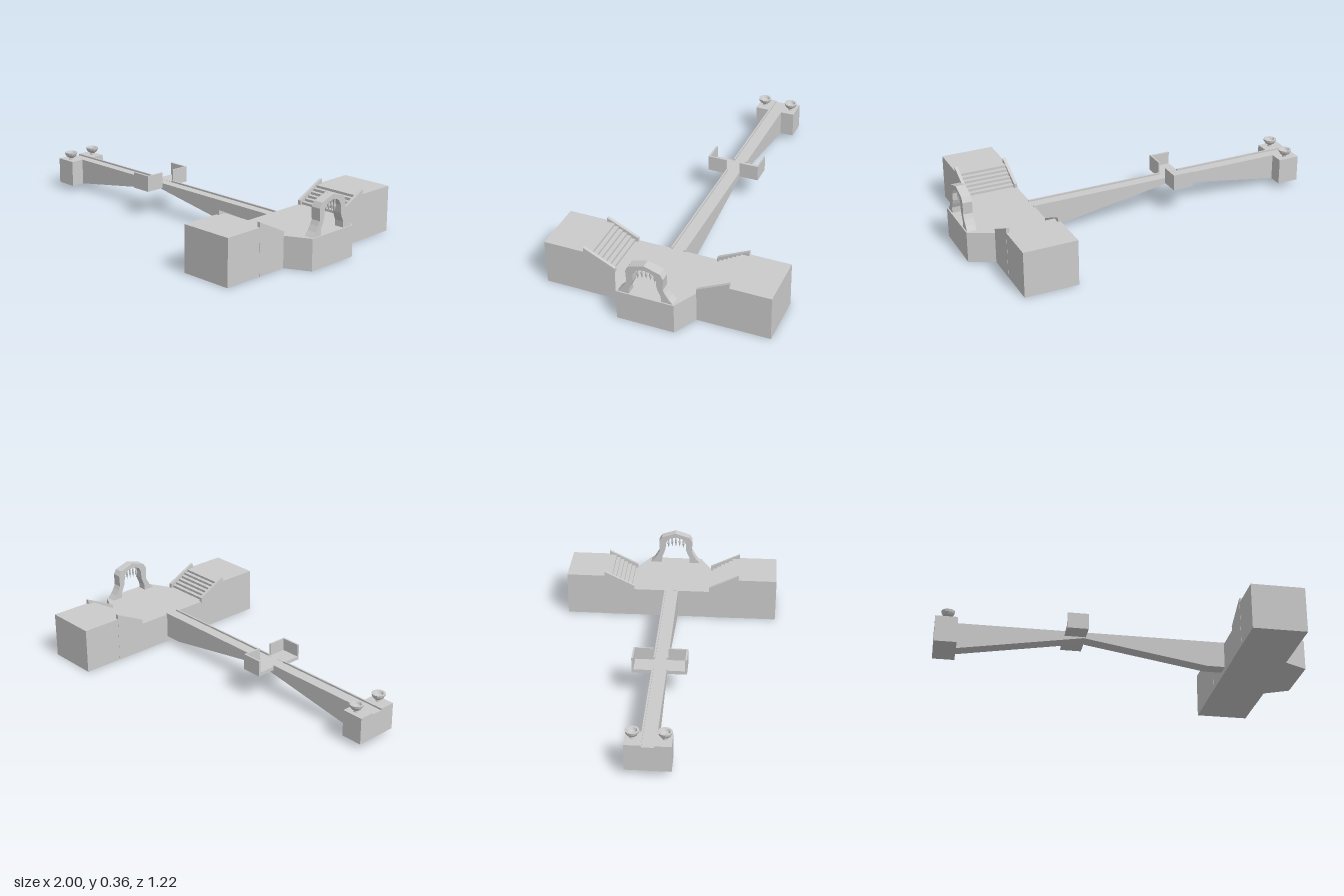
import * as THREE from 'three';

const material = new THREE.MeshStandardMaterial({ color: 0xcccccc, flatShading: true, side: THREE.DoubleSide });

export function createModel() {
  const model = new THREE.Group();

  const add = (name, geometry, x = 0, y = 0, z = 0) => {
    const mesh = new THREE.Mesh(geometry, material);
    mesh.name = name;
    mesh.position.set(x, y, z);
    model.add(mesh);
    return mesh;
  };
  // Box given by its limits on each axis
  const box = (name, x0, x1, y0, y1, z0, z1) =>
    add(name, new THREE.BoxGeometry(x1 - x0, y1 - y0, Math.abs(z1 - z0)),
      (x0 + x1) / 2, (y0 + y1) / 2, (z0 + z1) / 2);
  const extrude = (points, depth) => new THREE.ExtrudeGeometry(
    new THREE.Shape(points.map(([a, b]) => new THREE.Vector2(a, b))),
    { depth, bevelEnabled: false });
  // Profile of (z, y) points swept from x0 to x1
  const sweepX = (name, points, x0, x1) =>
    add(name, extrude(points.map(([z, y]) => [-z, y]), x1 - x0).rotateY(Math.PI / 2), x0);

  const floor = 0.168, top = 0.25, rimTop = 0.176;

  // Central platform with chamfered front corners
  const plan = [[0.58, 0.22], [0.87, 0.22], [1, 0.155], [1, -0.155], [0.87, -0.22], [0.58, -0.22]];
  add('platform', extrude(plan, floor).rotateX(-Math.PI / 2));

  for (const s of [1, -1]) {
    // Raised wing with a flight of steps down to the platform
    const profile = [[s * 0.22, 0], [s * 0.22, floor]];
    const steps = 6, rise = (top - floor) / steps;
    for (let i = 0; i < steps; i++) {
      const z = s * (0.235 + i * 0.0228);
      profile.push([z, floor + i * rise], [z, floor + (i + 1) * rise]);
    }
    profile.push([s * 0.612, top], [s * 0.612, 0]);
    sweepX('steppedWing', profile, 0.58, 0.87);

    // Sloping walls beside the steps
    const rail = [[s * 0.22, 0], [s * 0.22, 0.192], [s * 0.392, 0.276], [s * 0.392, 0]];
    sweepX('stairRail', rail, 0.579, 0.596);
    sweepX('stairRail', rail, 0.854, 0.871);

    // Low bridge rims, open at the balconies
    box('bridgeRim', -1, -0.3, 0.16, rimTop, s * 0.031, s * 0.04);
    box('bridgeRim', -0.19, 0.585, 0.16, rimTop, s * 0.031, s * 0.04);

    // Balcony with a floor, an outer wall and a side wall
    box('balconyFloor', -0.303, -0.188, 0.148, floor, s * 0.035, s * 0.147);
    box('balconyOuterWall', -0.303, -0.188, 0.148, 0.237, s * 0.137, s * 0.147);
    box('balconySideWall', -0.196, -0.188, 0.148, 0.237, s * 0.04, s * 0.147);

    // End pier carrying a bowl
    box('endPier', -1, -0.88, 0.03, rimTop, s * 0.038, s * 0.117);
    const bowl = [[0, 0.172], [0.014, 0.172], [0.012, 0.186], [0.026, 0.195], [0.034, 0.207],
      [0.037, 0.22], [0.026, 0.22], [0.019, 0.208], [0, 0.203]];
    add('bowl', new THREE.LatheGeometry(bowl.map(p => new THREE.Vector2(...p)), 12), -0.933, 0, s * 0.081);
  }

  // Bridge deck with a double-tapered underside
  const bridge = [[-1, 0.03], [-0.88, 0.03], [-0.2, 0.142], [0.48, 0.03], [0.59, 0.03], [0.59, 0.167], [-1, 0.167]];
  add('bridge', extrude(bridge, 0.08), 0, 0, -0.04);

  // Jaw-shaped arch
  const outer = [[0.15, 0.166], [0.126, 0.192], [0.108, 0.22], [0.097, 0.243], [0.1, 0.308], [0.083, 0.335], [0, 0.361]];
  const inner = [[0, 0.334], [0.028, 0.33], [0.047, 0.319], [0.062, 0.292], [0.064, 0.25], [0.073, 0.225], [0.085, 0.2], [0.086, 0.166]];
  const mirror = pts => pts.map(([z, y]) => [-z, y]).reverse();
  sweepX('arch', [...outer, ...mirror(outer).slice(1), ...mirror(inner), ...inner.slice(1)], 0.942, 0.993);

  // Hanging teeth, swollen in the middle
  for (let i = -2; i <= 2; i++) {
    const root = 0.338 - 0.004 * i * i, length = 0.074 - 0.003 * Math.abs(i);
    const tooth = [[0, -length], [0.007, -length * 0.55], [0.004, -length * 0.3], [0.004, 0], [0, 0]];
    add('tooth', new THREE.LatheGeometry(tooth.map(p => new THREE.Vector2(...p)), 8), 0.967, root, i * 0.0225);
  }

  return model;
}
